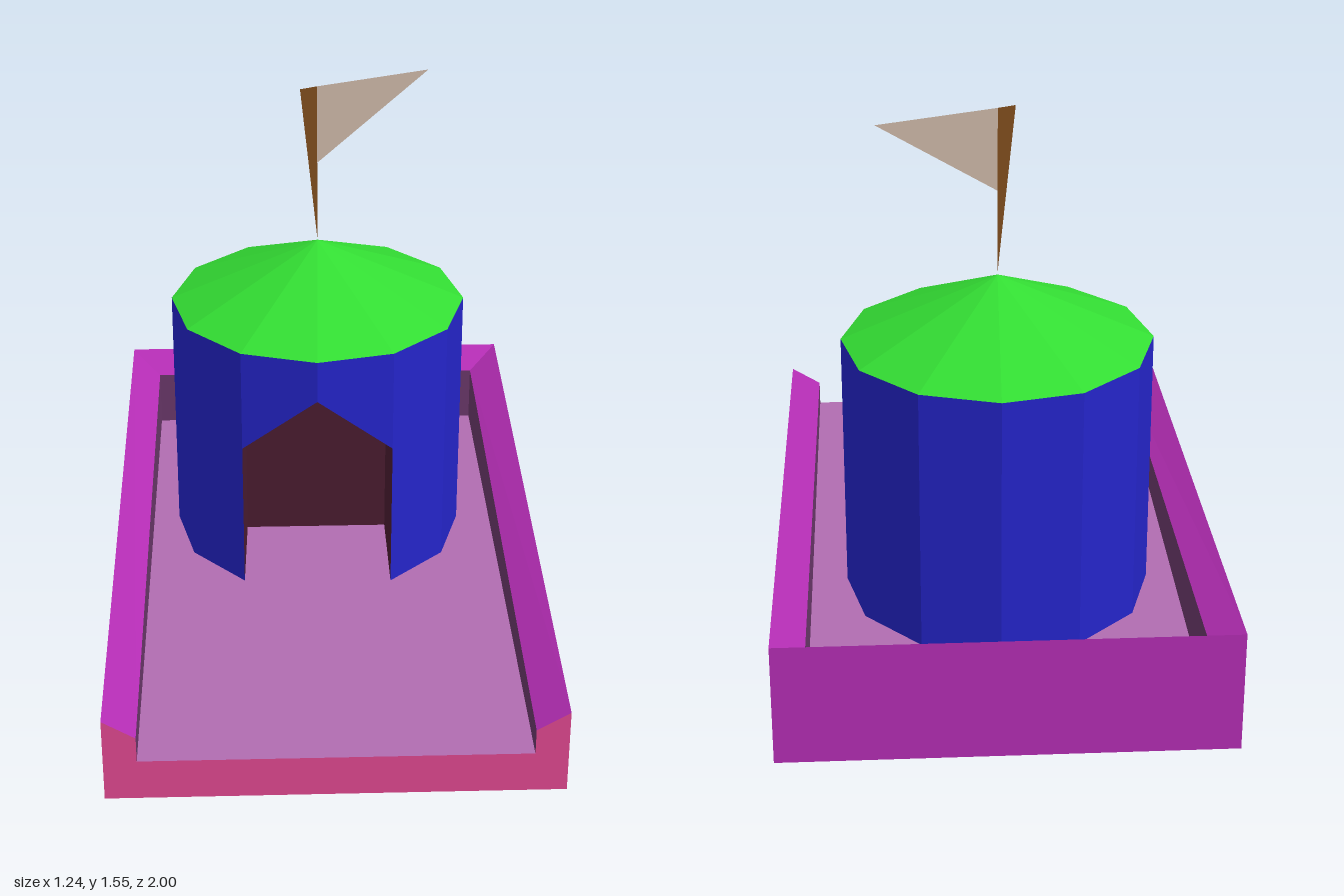
import * as THREE from 'three';

const CX = -0.012, CZ = -0.252, R = 0.44, SIDES = 12;
const TURN = THREE.MathUtils.degToRad(-1.8);
const FLOOR = 0.12, EAVE = 0.885, APEX = 1.075;
const STEP = (Math.PI * 2) / SIDES;

const paint = (color) =>
  new THREE.MeshStandardMaterial({ color, flatShading: true, side: THREE.DoubleSide });

function addMesh(parent, name, geometry, color) {
  const mesh = new THREE.Mesh(geometry, paint(color));
  mesh.name = name;
  parent.add(mesh);
  return mesh;
}

// Flat convex faces, corners counter-clockwise, each cut into a fan
function faces(parent, name, color, polygons) {
  const pos = [];
  for (const p of polygons)
    for (let i = 1; i < p.length - 1; i++) pos.push(...p[0], ...p[i], ...p[i + 1]);
  const g = new THREE.BufferGeometry();
  g.setAttribute('position', new THREE.Float32BufferAttribute(pos, 3));
  g.computeVertexNormals();
  return addMesh(parent, name, g, color);
}

// A face plus its mirror image across x = 0
const mirrored = (p) => [p, p.map(([x, y, z]) => [-x, y, z]).reverse()];

function makeTray() {
  const tray = new THREE.Group();
  tray.name = 'tray';
  const X = 0.62, x = 0.53, zb = -0.91;
  // Upper edges of the rising side walls: outer and inner, front and back
  const of = [X, 0.25, 1], ob = [X, 0.35, -1], nf = [x, 0.195, 1], nb = [x, 0.295, zb];
  const m = ([a, b, c]) => [-a, b, c];

  faces(tray, 'outerWalls', 0xb42db4, [
    ...mirrored([[X, 0, 1], [X, 0, -1], ob, of]),
    [[X, 0, -1], [-X, 0, -1], m(ob), ob],
  ]);
  faces(tray, 'slopedRim', 0xb42db4, [
    ...mirrored([of, ob, nb, nf]),
    [ob, m(ob), m(nb), nb],
  ]);
  faces(tray, 'innerWalls', 0x6a386a, [
    ...mirrored([nf, nb, [x, FLOOR, zb], [x, FLOOR, 1]]),
    [nb, m(nb), [-x, FLOOR, zb], [x, FLOOR, zb]],
  ]);
  faces(tray, 'floor', 0xb06cb0, [
    [[-x, FLOOR, 1], [x, FLOOR, 1], [x, FLOOR, zb], [-x, FLOOR, zb]],
  ]);
  faces(tray, 'frontEdge', 0xe04890, [
    ...mirrored([[X, 0, 1], of, nf, [x, FLOOR, 1]]),
    [[-X, 0, 1], [X, 0, 1], [x, FLOOR, 1], [-x, FLOOR, 1]],
  ]);
  faces(tray, 'underside', 0x8a2222, [
    [[-X, 0, -1], [X, 0, -1], [X, 0, 1], [-X, 0, 1]],
  ]);
  return tray;
}

function makeTower() {
  const tower = new THREE.Group();
  tower.name = 'tower';
  const corner = (k, y) => {
    const a = TURN + k * STEP;
    return [CX + R * Math.sin(a), y, CZ + R * Math.cos(a)];
  };
  const DOOR = 0.575, PEAK = 0.76;

  // Wall all round except the two front sides
  const wall = new THREE.CylinderGeometry(
    R, R, EAVE - FLOOR, SIDES - 2, 1, true, TURN + STEP, STEP * (SIDES - 2));
  wall.translate(CX, (EAVE + FLOOR) / 2, CZ);
  addMesh(tower, 'wall', wall, 0x2424c8);

  // The two front sides, above the pointed doorway
  const peak = corner(0, PEAK);
  faces(tower, 'wallAboveDoor', 0x2424c8, [
    [corner(-1, DOOR), peak, corner(0, EAVE), corner(-1, EAVE)],
    [peak, corner(1, DOOR), corner(1, EAVE), corner(0, EAVE)],
  ]);

  // Recessed room behind the doorway
  const L = (y) => [-0.235, y, -0.19], Rt = (y) => [0.196, y, -0.19];
  faces(tower, 'doorRecess', 0x4a1c30, [
    [corner(-1, FLOOR), L(FLOOR), L(DOOR), corner(-1, DOOR)],
    [Rt(FLOOR), corner(1, FLOOR), corner(1, DOOR), Rt(DOOR)],
    [L(FLOOR), Rt(FLOOR), Rt(DOOR), L(DOOR)],
  ]);
  faces(tower, 'recessCeiling', 0x3a3236, [
    [L(DOOR), Rt(DOOR), peak],
    [corner(-1, DOOR), L(DOOR), peak],
    [corner(1, DOOR), peak, Rt(DOOR)],
  ]);

  const roof = new THREE.ConeGeometry(R, APEX - EAVE, SIDES, 1, true, TURN);
  roof.translate(CX, (EAVE + APEX) / 2, CZ);
  addMesh(tower, 'roof', roof, 0x33dd33);
  return tower;
}

function makeFlag() {
  const flag = new THREE.Group();
  flag.name = 'flag';
  const top = [CX, 1.555, CZ];
  // Thin tapering pole with a triangular pennant in the same plane
  faces(flag, 'flagPole', 0x7a4a1c, [[[CX, 1.08, CZ], top, [-0.062, 1.555, -0.228]]]);
  faces(flag, 'pennant', 0xc4b0a0, [[[CX, 1.32, CZ], [0.32, 1.555, -0.39], top]]);
  return flag;
}

export function createModel() {
  const model = new THREE.Group();
  model.name = 'towerOnTray';
  model.add(makeTray(), makeTower(), makeFlag());
  return model;
}
